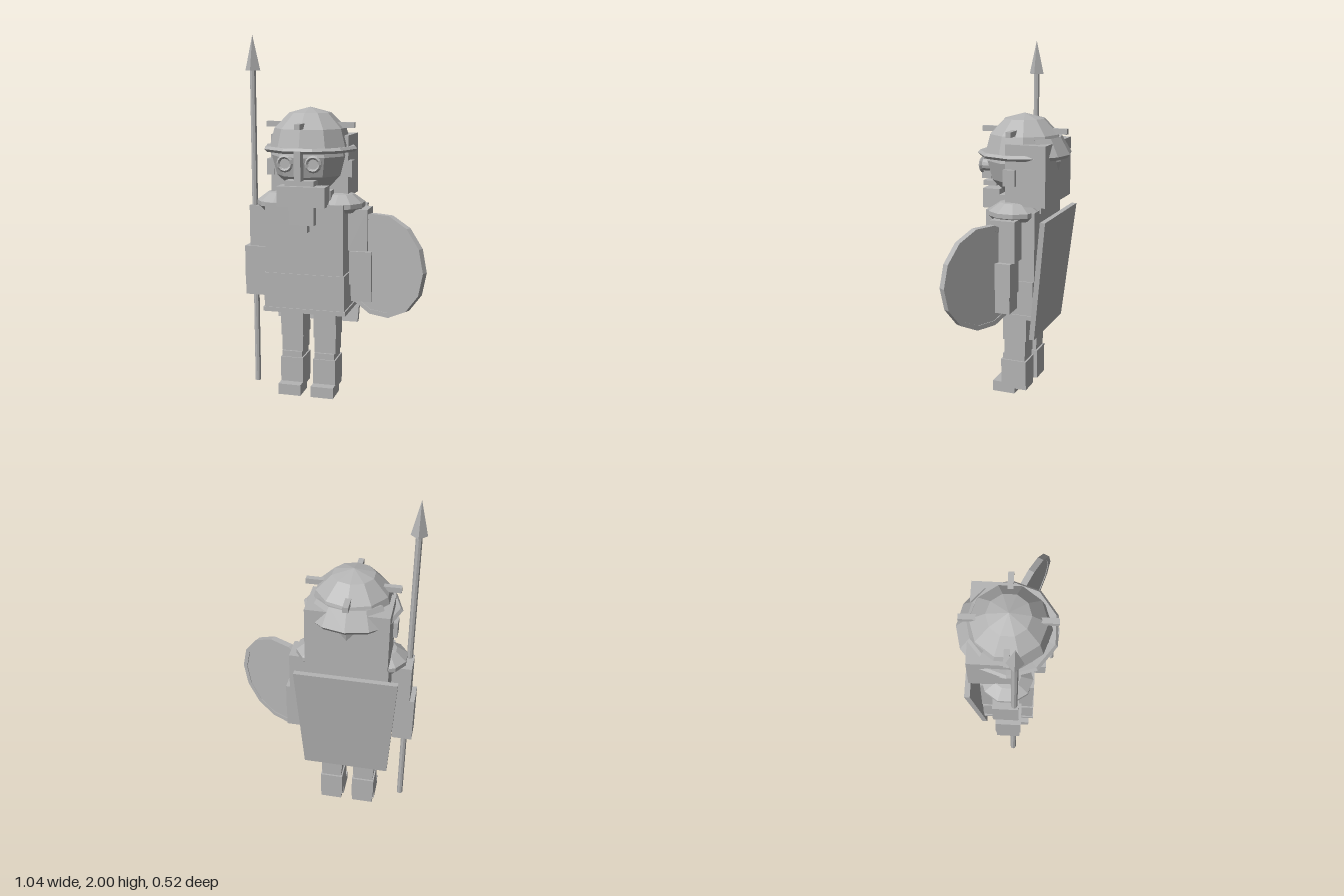
import * as THREE from 'three';

const CX = -0.16; // centre line of the figure

export function createModel() {
  const model = new THREE.Group();
  const grey = new THREE.MeshStandardMaterial({ color: 0xb4b4b4, flatShading: true, side: THREE.DoubleSide });
  grey.name = 'plain grey';

  const figure = new THREE.Group();
  figure.name = 'figure';
  figure.position.x = CX;
  model.add(figure);

  const add = (name, geo, x = 0, y = 0, z = 0, parent = figure) => {
    const m = new THREE.Mesh(geo, grey);
    m.name = name;
    m.position.set(x, y, z);
    parent.add(m);
    return m;
  };
  // box from its limits on each axis
  const box = (name, x0, x1, y0, y1, z0, z1, parent) =>
    add(name, new THREE.BoxGeometry(x1 - x0, y1 - y0, z1 - z0),
      (x0 + x1) / 2, (y0 + y1) / 2, (z0 + z1) / 2, parent);
  const profile = (pts) => pts.map(([r, y]) => new THREE.Vector2(r, y));

  // Torso, lower tunic and hem
  box('torso', -0.22, 0.22, 0.71, 1.1, -0.14, 0.145);
  box('tunic', -0.228, 0.228, 0.515, 0.71, -0.135, 0.15);
  box('hem', -0.235, 0.235, 0.49, 0.515, -0.14, 0.155);
  box('neck', -0.14, 0.14, 1.08, 1.17, -0.15, 0.1);

  // Legs, arms, shoulder guards and ears on both sides
  for (const s of [-1, 1]) {
    const side = s > 0 ? 'left' : 'right';
    const pair = (name, x0, x1, ...rest) =>
      box(side + name, Math.min(s * x0, s * x1), Math.max(s * x0, s * x1), ...rest);

    pair('Thigh', 0.03, 0.16, 0.33, 0.5, -0.07, 0.07);
    pair('Knee', 0.034, 0.156, 0.24, 0.33, -0.064, 0.064);
    pair('Strap', 0.038, 0.152, 0.205, 0.24, -0.06, 0.075);
    pair('Shin', 0.03, 0.16, 0.06, 0.205, -0.07, 0.082);
    pair('Heel', 0.034, 0.156, 0.03, 0.06, -0.07, 0.05);
    pair('Foot', 0.03, 0.16, 0, 0.062, 0, 0.135);

    pair('UpperArm', 0.23, 0.337, 0.84, 1.07, -0.07, 0.07);
    pair('Forearm', 0.24, 0.363, 0.655, 0.84, -0.055, 0.085);
    pair('Hand', 0.25, 0.363, 0.56, 0.655, -0.05, 0.08);

    const pad = add(side + 'ShoulderGuard', new THREE.LatheGeometry(profile(
      [[0, 1.05], [0.115, 1.05], [0.14, 1.075], [0.14, 1.1], [0.075, 1.145], [0, 1.155]]), 10), s * 0.175);
    pad.scale.x = 0.94;

    pair('Ear', 0.2, 0.243, 1.24, 1.33, -0.033, 0.035);

    // goggle ring with its lens
    add(side + 'Goggle', new THREE.TorusGeometry(0.037, 0.01, 4, 12), s * 0.078, 1.325, 0.222);
    add(side + 'Lens', new THREE.CylinderGeometry(0.034, 0.034, 0.06, 12).rotateX(Math.PI / 2), s * 0.078, 1.325, 0.185);
  }

  // Head with the square hood behind it
  add('head', new THREE.SphereGeometry(0.214, 10, 6).rotateY(Math.PI / 2), 0, 1.355, 0);
  box('hood', -0.22, 0.22, 1.13, 1.465, -0.2, 0.03);

  // Helmet
  add('helmetDome', new THREE.SphereGeometry(0.228, 10, 3, 0, Math.PI * 2, 0, Math.PI / 2).rotateY(Math.PI / 2), 0, 1.388, 0);
  const arc = (deg) => deg * Math.PI / 180;
  add('helmetBrim', new THREE.LatheGeometry(profile(
    [[0.215, 1.38], [0.25, 1.378], [0.264, 1.393], [0.25, 1.408], [0.215, 1.405], [0.215, 1.38]]),
    7, arc(-126), arc(252)));
  add('neckGuard', new THREE.LatheGeometry(profile(
    [[0.17, 1.4], [0.25, 1.375], [0.266, 1.395], [0.21, 1.49], [0.17, 1.48], [0.17, 1.4]]),
    4, arc(180 - 54), arc(108)));
  box('noseGuard', -0.018, 0.018, 1.235, 1.395, 0.195, 0.255);
  for (let i = 0; i < 4; i++) {
    const stud = add('helmetStud', new THREE.BoxGeometry(0.03, 0.03, 0.1).translate(0, 0, 0.2), 0, 1.52, 0);
    stud.rotation.y = i * Math.PI / 2;
  }

  // Moustache and stepped beard
  box('moustache', -0.08, 0.08, 1.207, 1.235, 0.14, 0.22);
  box('beardTop', -0.133, 0.133, 1.09, 1.2, 0.1, 0.2);
  box('beardMiddle', -0.07, 0.07, 0.99, 1.09, 0.13, 0.195);
  box('beardTip', -0.033, 0.033, 0.95, 0.99, 0.13, 0.19);

  // Tapered, sloping board on the back
  const board = new THREE.BoxGeometry(1, 1, 0.03);
  const p = board.attributes.position;
  for (let i = 0; i < p.count; i++) {
    const top = p.getY(i) > 0;
    p.setXYZ(i, Math.sign(p.getX(i)) * (top ? 0.28 : 0.24), top ? 1.065 : 0.38,
      p.getZ(i) + (top ? -0.207 : -0.133));
  }
  board.computeVertexNormals();
  add('backBoard', board);

  // Spear
  const spear = new THREE.Group();
  spear.name = 'spear';
  spear.position.set(-0.473, 0, 0.045);
  model.add(spear);
  add('spearShaft', new THREE.CylinderGeometry(0.017, 0.017, 1.77, 8), 0, 0.925, 0, spear);
  add('spearTip', new THREE.ConeGeometry(0.043, 0.19, 4), 0, 1.905, 0, spear);

  // Round shield turned outwards
  const shield = new THREE.Group();
  shield.name = 'shield';
  shield.position.set(0.255, 0.77, 0.075);
  shield.rotation.y = arc(-25.6);
  model.add(shield);
  const turn = (geo) => geo.rotateY(Math.PI / 2).rotateX(Math.PI / 2);
  add('shieldFace', turn(new THREE.CylinderGeometry(0.265, 0.265, 0.028, 14)), 0, 0, 0, shield);
  add('shieldRim', turn(new THREE.LatheGeometry(profile(
    [[0.26, -0.018], [0.287, -0.018], [0.287, 0.018], [0.26, 0.018], [0.26, -0.018]]), 14)), 0, 0, 0, shield);

  return model;
}
